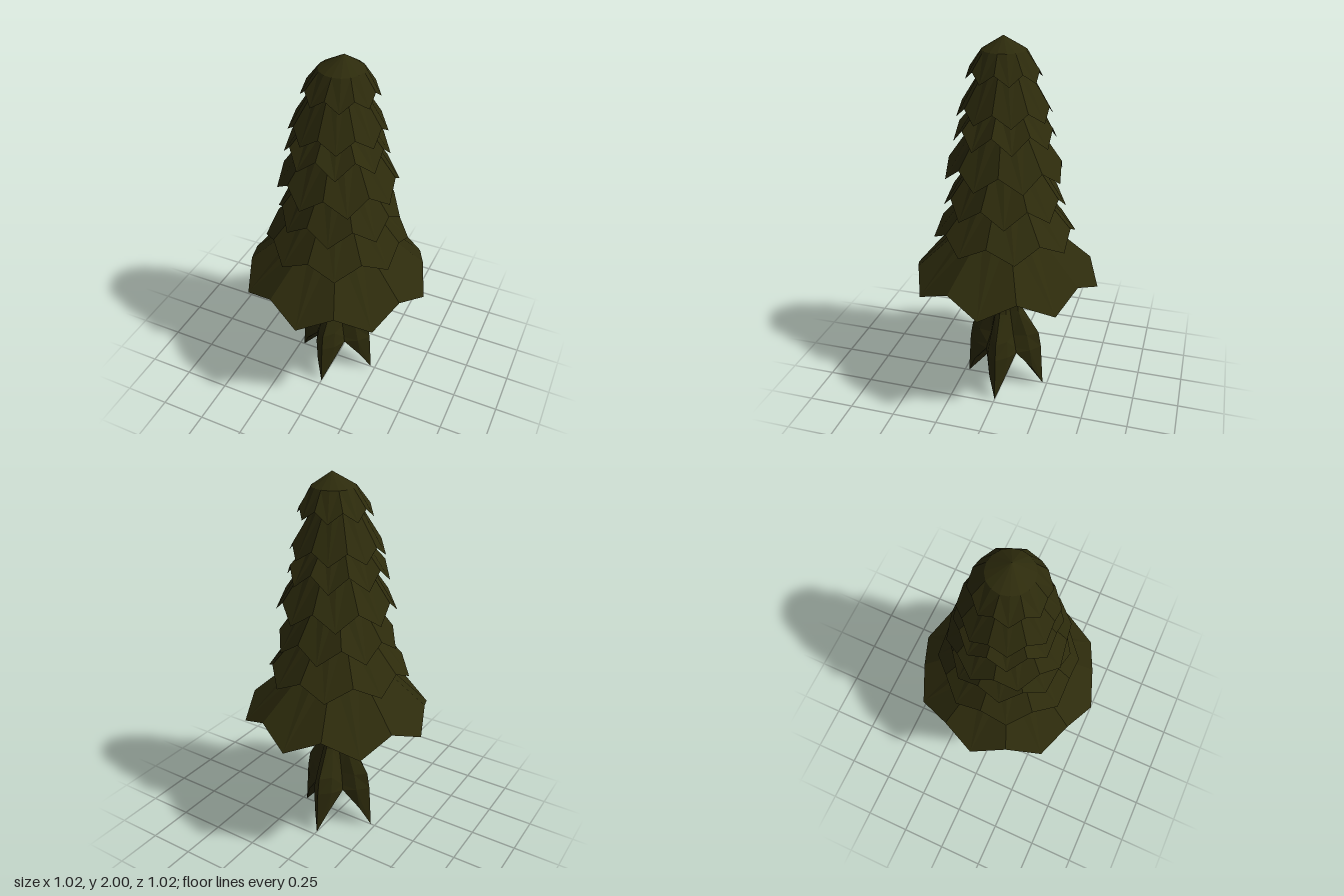
import * as THREE from 'three';

const olive = new THREE.MeshStandardMaterial({ color: 0x2d2b0c });
olive.name = 'dark olive';
olive.flatShading = true;

// Skins a stack of rings (equal point counts, top to bottom) with flat facets
function loft(name, rings) {
  const pos = [];
  const n = rings[0].length;
  const tri = (a, b, c) => pos.push(...a, ...b, ...c);
  for (let i = 0; i < rings.length - 1; i++) {
    for (let j = 0; j < n; j++) {
      const k = (j + 1) % n;
      const a = rings[i][j], b = rings[i][k], c = rings[i + 1][j], d = rings[i + 1][k];
      // mirror the diagonals so both sides of every tip match
      if (j % 2) { tri(a, b, d); tri(a, d, c); } else { tri(a, b, c); tri(b, d, c); }
    }
  }
  const geometry = new THREE.BufferGeometry();
  geometry.setAttribute('position', new THREE.Float32BufferAttribute(pos, 3));
  geometry.computeVertexNormals();
  const mesh = new THREE.Mesh(geometry, olive);
  mesh.name = name;
  return mesh;
}

// Ring of 16 points: tips alternating with notches of their own radius and height
function ring16(turn, cx, tipR, tipY, notchR = tipR, notchY = tipY) {
  return Array.from({ length: 16 }, (_, j) => {
    const [r, y] = j % 2 ? [notchR, notchY] : [tipR, tipY];
    const a = turn + (j * Math.PI) / 8;
    return [cx + r * Math.cos(a), y, r * Math.sin(a)];
  });
}

// Octagonal rim whose notches lie halfway along its straight edges
function rim(turn, cx, radius, tipY, notchY) {
  return ring16(turn, cx, radius, tipY, radius * Math.cos(Math.PI / 8), notchY);
}

// Trunk ring: four ridges on the axes, flanks beside them, valleys on the diagonals
function trunkRing({ cx = 0, ridge, flank, width, valley, y }) {
  const ring = [];
  const [ry, fy, vy] = y.length ? y : [y, y, y];
  for (let q = 0; q < 4; q++) {
    const c = Math.round(Math.cos((q * Math.PI) / 2)), s = Math.round(Math.sin((q * Math.PI) / 2));
    const add = (u, v, h) => ring.push([cx + u * c - v * s, h, u * s + v * c]);
    add(ridge, 0, ry);
    add(flank, width, fy);
    add(valley, valley, vy);
    add(width, flank, fy);
  }
  return ring;
}

export function createModel() {
  const tree = new THREE.Group();
  tree.name = 'tree';

  // Trunk flaring into four pointed roots, closed between them underneath
  tree.add(loft('trunk', [
    trunkRing({ cx: 0.01, ridge: 0.03, flank: 0.025, width: 0.01, valley: 0.015, y: 1.5 }),
    trunkRing({ cx: 0.01, ridge: 0.07, flank: 0.055, width: 0.02, valley: 0.03, y: 0.74 }),
    trunkRing({ cx: 0.01, ridge: 0.105, flank: 0.085, width: 0.03, valley: 0.042, y: 0.49 }),
    trunkRing({ ridge: 0.195, flank: 0.14, width: 0.05, valley: 0.065, y: 0.34 }),
    trunkRing({ ridge: 0.21, flank: 0.16, width: 0.058, valley: 0.082, y: [0.25, 0.25, 0.27] }),
    trunkRing({ ridge: 0.225, flank: 0.175, width: 0.045, valley: 0.088, y: [0, 0.12, 0.24] }),
    trunkRing({ ridge: 0, flank: 0, width: 0, valley: 0, y: 0.27 }),
  ]));

  // Overlapping foliage tiers, lowest first:
  // rim radius, tip y, notch y, turn in degrees, centre x, top radius, top y
  const tiers = [
    [0.512, 0.69, 0.77, 0, 0, 0.18, 1.03],
    [0.382, 0.94, 1.01, 22.5, 0, 0.16, 1.23],
    [0.322, 1.11, 1.19, -15, 0.01, 0.15, 1.39],
    [0.315, 1.29, 1.37, 13, 0.01, 0.15, 1.57],
    [0.265, 1.47, 1.55, 22.5, 0, 0.13, 1.68],
    [0.245, 1.6, 1.66, 22.5, 0.005, 0.1, 1.86],
  ];
  tiers.forEach(([r, tip, notch, deg, cx, topR, topY], i) => {
    const turn = THREE.MathUtils.degToRad(deg);
    tree.add(loft('foliageTier' + (i + 1), [
      ring16(turn, cx, 0, topY + 0.09),
      ring16(turn, cx, topR, topY),
      rim(turn, cx, r, tip, notch),
      // underside rising to the trunk
      ring16(turn, cx, r * 0.53, notch + 0.08),
      ring16(turn, cx, 0, topY - 0.04),
    ]));
  });

  // Domed crown with a slightly off-centre point
  const turn = Math.PI / 8;
  tree.add(loft('crown', [
    ring16(turn, 0.035, 0, 2),
    ring16(turn, 0.024, 0.113, 1.93),
    rim(turn, 0.018, 0.192, 1.79, 1.84),
    ring16(turn, 0.018, 0.1, 1.87),
    ring16(turn, 0.018, 0, 1.9),
  ]));

  return tree;
}
